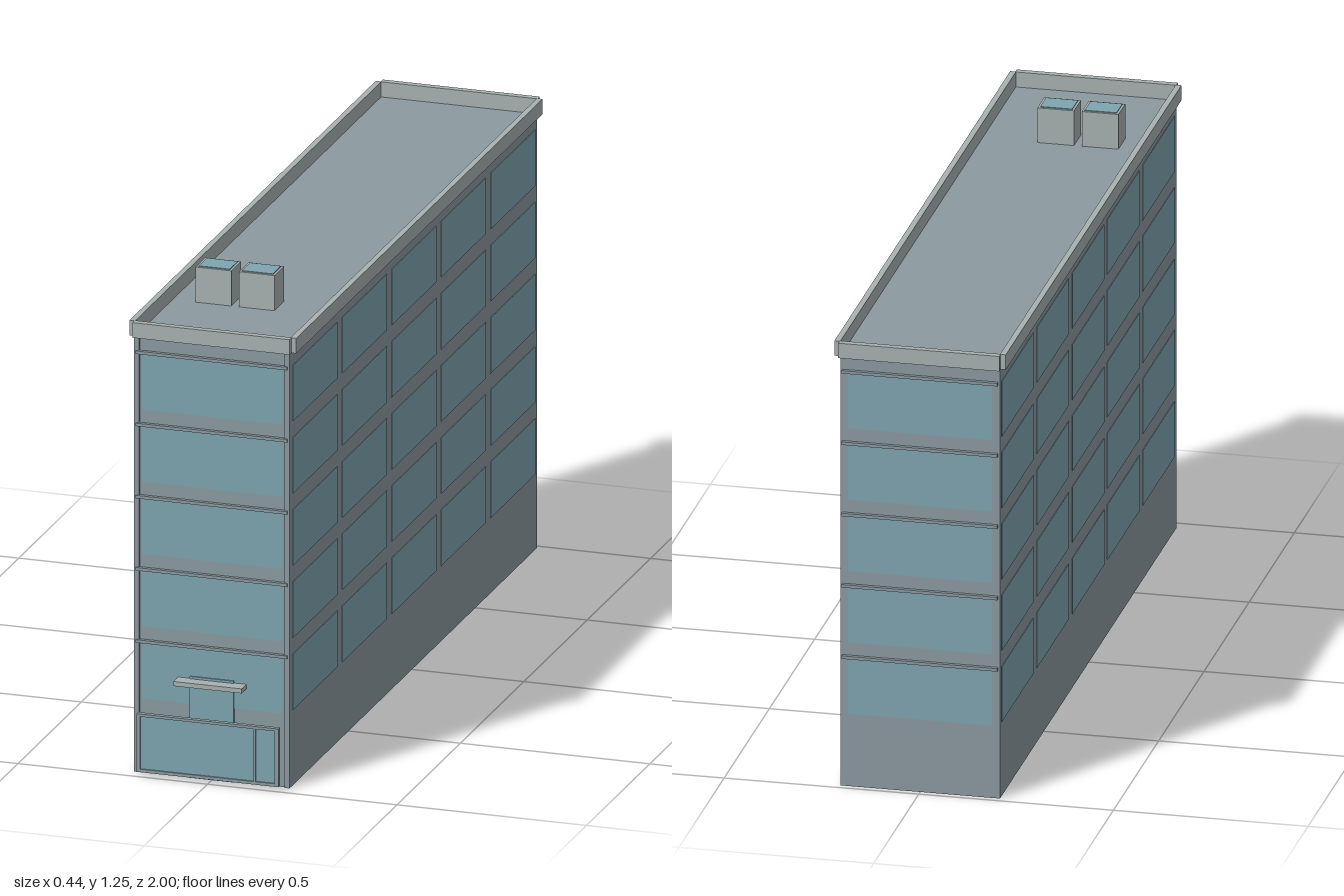
import * as THREE from 'three';

const mat = (color) => new THREE.MeshStandardMaterial({ color });

export function createModel() {
  const model = new THREE.Group();
  const wall = mat(0x8b9aa0), glass = mat(0x7fa5b0), trim = mat(0xa9b1b1);

  // Box given by its min and max on each axis
  function box(name, x0, x1, y0, y1, z0, z1, material) {
    const mesh = new THREE.Mesh(new THREE.BoxGeometry(x1 - x0, y1 - y0, z1 - z0), material);
    mesh.position.set((x0 + x1) / 2, (y0 + y1) / 2, (z0 + z1) / 2);
    mesh.name = name;
    model.add(mesh);
    return mesh;
  }

  const W = 0.205, FRONT = 0.96, BACK = -0.984, ROOF = 1.15;

  // Main block with its flat roof
  box('buildingBody', -W, W, 0, ROOF, BACK, FRONT, wall);

  // Corner strips on the front
  for (const s of [-1, 1]) {
    const a = s * 0.192, b = s * W;
    box('cornerStrip', Math.min(a, b), Math.max(a, b), 0, ROOF, FRONT, 0.966, wall);
  }

  // Five office floors
  for (let floor = 0; floor < 5; floor++) {
    const y0 = 0.195 + floor * 0.191, y1 = y0 + 0.148;

    // Wide end windows, each under a projecting ledge
    box('frontWindow', -0.185, 0.185, y0, y1, FRONT - 0.01, FRONT + 0.003, glass);
    box('backWindow', -0.185, 0.185, y0, y1, BACK - 0.003, BACK + 0.01, glass);
    box('frontLedge', -0.2, 0.2, y1, y1 + 0.008, FRONT, 0.97, wall);
    box('backLedge', -0.2, 0.2, y1, y1 + 0.008, BACK - 0.01, BACK, wall);

    // Five bays of windows along each long side
    for (let bay = 0; bay < 5; bay++) {
      const z = 0.766 - bay * 0.39;
      for (const s of [-1, 1]) {
        const x = s * (W - 0.004);
        box('sideWindow', x - 0.0055, x + 0.0055, y0 + 0.005, y1 + 0.005, z - 0.176, z + 0.176, glass);
      }
    }
  }

  // Parapet around the roof
  for (const s of [-1, 1]) {
    const a = s * 0.205, b = s * 0.22;
    box('parapetSide', Math.min(a, b), Math.max(a, b), ROOF, 1.19, -0.985, 0.958, trim);
  }
  box('parapetFront', -0.207, 0.207, ROOF, 1.19, 0.955, 0.973, trim);
  box('parapetBack', -0.207, 0.207, ROOF, 1.19, -1.0, -0.982, trim);

  // Two rooftop units with glazed tops
  for (const x of [-0.097, 0.017]) {
    box('rooftopUnit', x - 0.047, x + 0.047, ROOF, 1.243, 0.587, 0.663, trim);
    box('rooftopSkylight', x - 0.041, x + 0.041, 1.235, 1.245, 0.593, 0.657, glass);
  }

  // Entrance door and canopy
  box('door', -0.058, 0.058, 0, 0.268, FRONT - 0.01, 0.967, glass);
  box('canopy', -0.09, 0.09, 0.25, 0.262, FRONT, 1.0, trim);

  // Shop front: a thin frame standing just ahead of the wall
  const outline = new THREE.Shape();
  const rect = (path, x0, x1, y0, y1) =>
    path.moveTo(x0, y0).lineTo(x1, y0).lineTo(x1, y1).lineTo(x0, y1).closePath();
  rect(outline, -0.187, 0.187, 0.012, 0.166);
  const panes = [[-0.178, 0.121], [0.127, 0.176]];
  for (const [x0, x1] of panes) {
    const hole = new THREE.Path();
    rect(hole, x0, x1, 0.02, 0.159);
    outline.holes.push(hole);
    box('shopPane', x0, x1, 0.02, 0.159, 0.989, 0.995, glass);
  }
  const frame = new THREE.Mesh(
    new THREE.ExtrudeGeometry(outline, { depth: 0.013, bevelEnabled: false }), wall);
  frame.position.z = 0.986;
  frame.name = 'shopFrame';
  model.add(frame);

  return model;
}
